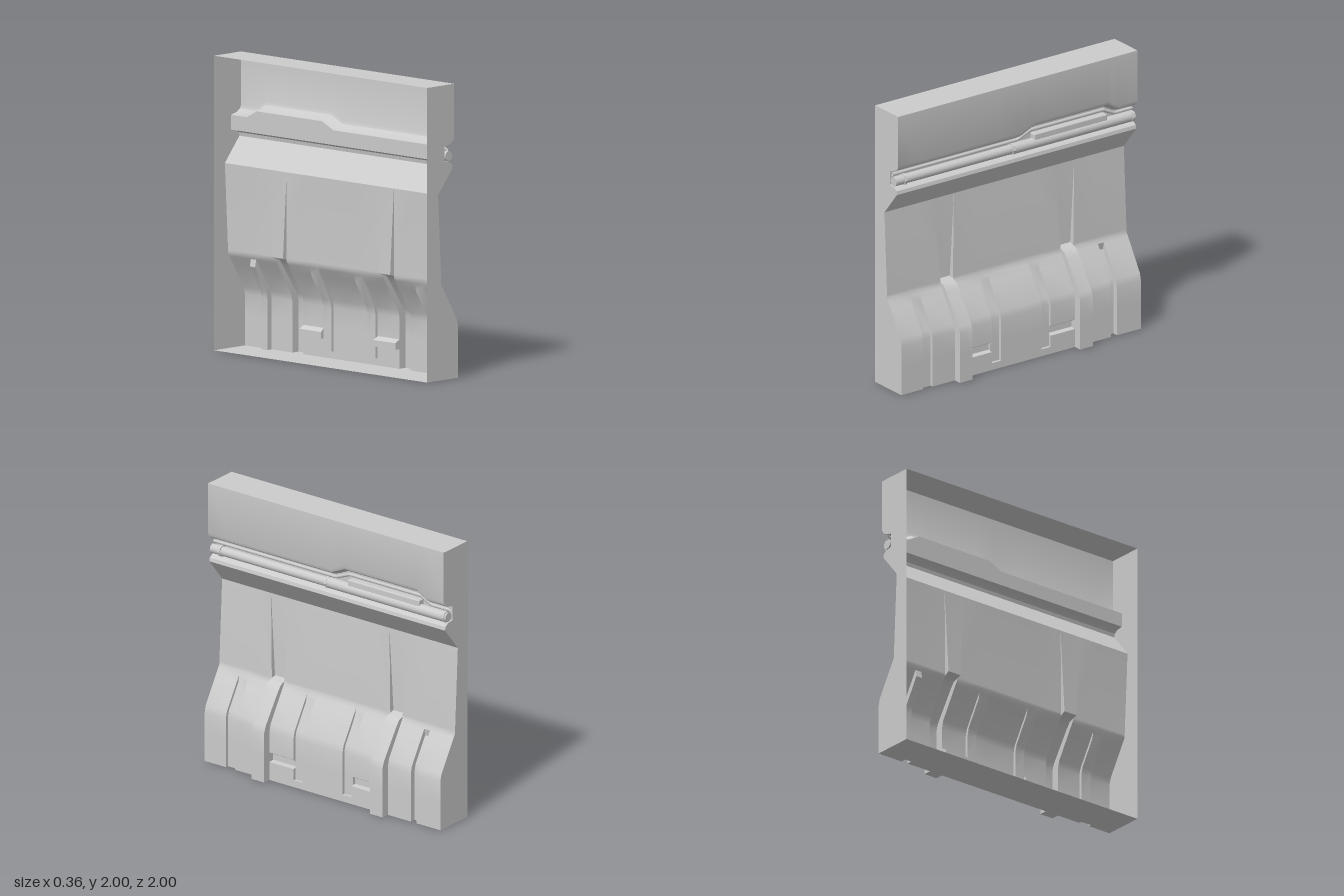
import * as THREE from 'three';
import { toCreasedNormals } from 'three/addons/utils/BufferGeometryUtils.js';
import { RoundedBoxGeometry } from 'three/addons/geometries/RoundedBoxGeometry.js';

const BACK = -0.18;
const material = new THREE.MeshStandardMaterial({ color: 0xcccccc, side: THREE.DoubleSide });

// The conduit recess rises over the housing between these z positions
const LIFT = [[-0.04, 0], [-0.15, 0.05], [-0.76, 0.05], [-0.85, 0]];
function liftAt(z) {
  for (let i = 0; i < 3; i++) {
    const [z0, l0] = LIFT[i], [z1, l1] = LIFT[i + 1];
    if (z <= z0 && z >= z1) return l0 + (l1 - l0) * (z0 - z) / (z0 - z1);
  }
  return 0;
}

// Upper wall with conduit recess and lip, from the top down
const UPPER = [[BACK, 2], [0.08, 2], [0.08, 1.64], [0.07, 1.615], [0.04, 1.595], [-0.015, 1.58],
  [-0.015, 1.48], [0.03, 1.475], [0.06, 1.455], [0.065, 1.43], [-0.075, 1.26]];
// Lower skirt and the buttress standing proud of it
const SKIRT = [[-0.045, 0.67], [-0.045, 0.65], [-0.03, 0.625], [0, 0.575], [0.105, 0.4], [0.117, 0.35],
  [0.117, 0.2], [0.117, 0.178], [0.117, 0.135], [0.117, 0.13], [0.117, 0.05], [0.117, 0.05], [0.117, 0]];
const BUTTRESS = [[-0.08, 0.67], [-0.045, 0.66], [-0.005, 0.645], [0.025, 0.605], [0.16, 0.4], [0.175, 0.355],
  [0.175, 0.2], [0.175, 0.178], [0.175, 0.135], [0.175, 0.13], [0.175, 0.05], [0.175, 0.05], [0.175, 0]];

const inset = (d, from, to) => SKIRT.map(([x, y], i) => [i >= from && i <= to ? x - d : x, y]);
const LOWER = {
  plain: SKIRT,
  buttress: BUTTRESS,
  channel: inset(0.02, 3, 10),
  shallow: inset(0.022, 3, 12),
  deep: inset(0.04, 3, 12),
  slot: inset(0.04, 7, 8),
};

// Edges of the tapered recess above each buttress spread towards the top
function spread(z, y) {
  const a = Math.abs(z), t = THREE.MathUtils.clamp((y - 0.67) / 0.59, 0, 1);
  const d = Math.abs(a - 0.45) < 0.001 ? -0.03 : Math.abs(a - 0.555) < 0.001 ? 0.03 : 0;
  return z + Math.sign(z) * d * t;
}

function section(z, type) {
  const lift = liftAt(z);
  const upper = UPPER.map(([x, y]) => [x, y > 1.57 && y < 1.7 ? y + lift : y]);
  return [...upper, ...LOWER[type], [BACK, 0]]
    .map(([x, y]) => new THREE.Vector3(x, y, spread(z, y)));
}

// Bands across the wall, each running from the previous edge to this one
const BANDS = [[0.82, 'plain'], [0.74, 'shallow'], [0.555, 'plain'], [0.45, 'buttress'],
  [0.245, 'slot'], [0.17, 'channel'], [-0.17, 'plain'], [-0.245, 'channel'], [-0.45, 'slot'],
  [-0.555, 'buttress'], [-0.75, 'plain'], [-0.8, 'deep'], [-1, 'plain']];

function wallGeometry() {
  const sections = [];
  let start = 1;
  for (const [end, type] of BANDS) {
    const breaks = LIFT.map((l) => l[0]).filter((z) => z < start && z > end);
    for (const z of [start, ...breaks, end]) sections.push(section(z, type));
    start = end;
  }
  const points = [];
  const triangle = new THREE.Triangle();
  const add = (a, b, c) => {
    if (triangle.set(a, b, c).getArea() > 1e-8) points.push(a, b, c);
  };
  for (let s = 0; s < sections.length - 1; s++) {
    const p = sections[s], q = sections[s + 1];
    for (let i = 0; i < p.length - 1; i++) {
      add(p[i], p[i + 1], q[i + 1]);
      add(p[i], q[i + 1], q[i]);
    }
  }
  return toCreasedNormals(new THREE.BufferGeometry().setFromPoints(points), 0.6);
}

export function createModel() {
  const group = new THREE.Group();
  const add = (name, geometry, x = 0, y = 0, z = 0) => {
    const mesh = new THREE.Mesh(geometry, material);
    mesh.name = name;
    mesh.position.set(x, y, z);
    group.add(mesh);
    return mesh;
  };

  // Wall skin, open at the back
  add('wallPanel', wallGeometry());

  // End caps
  for (const side of [1, -1]) {
    const outline = section(side, 'plain').map((p) => new THREE.Vector2(p.x * side, p.y));
    const cap = add('endCap', new THREE.ShapeGeometry(new THREE.Shape(outline)), 0, 0, side);
    if (side < 0) cap.rotation.y = Math.PI;
  }

  // Main conduit, its thicker sleeve and the clamps
  const rod = (name, radius, z0, z1, sides) => {
    const geometry = new THREE.CylinderGeometry(radius, radius, z0 - z1, sides).rotateX(Math.PI / 2);
    add(name, sides < 12 ? toCreasedNormals(geometry, 0.5) : geometry, 0.028, 1.515, (z0 + z1) / 2);
  };
  rod('conduit', 0.033, 1, -1, 16);
  rod('conduitSleeve', 0.038, 0.01, -0.97, 16);
  for (const z of [0.92, 0.015, -0.98]) rod('conduitClamp', 0.042, z + 0.008, z - 0.008, 8);

  // Housing over the conduit
  add('conduitHousing', new RoundedBoxGeometry(0.055, 0.05, 0.61, 2, 0.01), 0.025, 1.562, -0.465);

  // Thin cable that follows the raised part of the recess
  const path = new THREE.CurvePath();
  const knots = [[1, 0], ...LIFT, [-1, 0]].map(([z, l]) => new THREE.Vector3(0.012, 1.563 + l * 0.9, z));
  for (let i = 0; i < knots.length - 1; i++) path.add(new THREE.LineCurve3(knots[i], knots[i + 1]));
  add('cable', new THREE.TubeGeometry(path, 120, 0.012, 8));

  return group;
}
